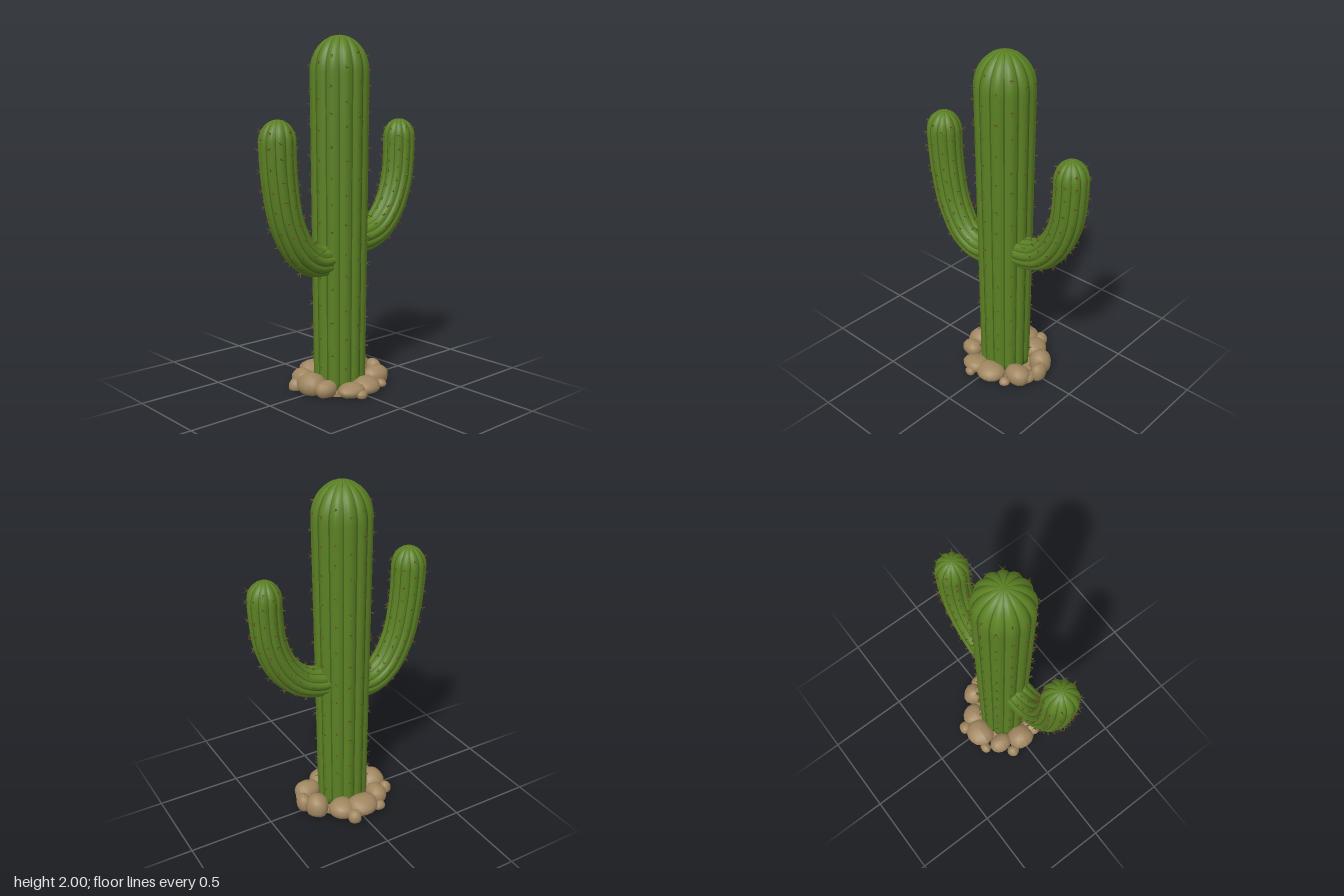
import * as THREE from 'three';
import { mergeGeometries } from 'three/addons/utils/BufferGeometryUtils.js';

const mat = (name, color) => {
  const m = new THREE.MeshStandardMaterial({ color });
  m.name = name;
  return m;
};

function seeded(seed) {
  let s = seed;
  return () => (s = (s * 16807) % 2147483647) / 2147483647;
}

// Radius factors across one rib; the last slot wraps over the narrow groove
const RIB = [0.06, 0.2, 0.35, 0.5, 0.65, 0.8, 0.94];

// Ribbed stem swept along a curve in the XY plane, closed by a dome
function makeStem({ points, r0, r1, ribs, depth, domeLen, phase }) {
  const curve = new THREE.CatmullRomCurve3(points.map(p => new THREE.Vector3(...p)));
  const uDome = 1 - domeLen / curve.getLength();
  const side = new THREE.Vector3(0, 0, 1);

  const radiusAt = u => {
    const r = THREE.MathUtils.lerp(r0, r1, Math.min(u / uDome, 1));
    const d = Math.max(0, (u - uDome) / (1 - uDome));
    return r * Math.sqrt(Math.max(0, 1 - d * d));
  };
  // Point on the surface; rib coordinate 2.5 is the crest of the third rib
  const surface = (u, rib) => {
    const c = curve.getPointAt(u);
    const t = curve.getTangentAt(u);
    const n = new THREE.Vector3().crossVectors(t, side).normalize();
    const a = (rib / ribs) * Math.PI * 2 + phase;
    const out = n.multiplyScalar(Math.cos(a)).addScaledVector(side, -Math.sin(a));
    const crest = Math.pow(Math.abs(Math.sin(rib * Math.PI)), 0.7);
    const r = radiusAt(u) * (1 - depth * (1 - crest));
    return { point: c.addScaledVector(out, r), out, tangent: t };
  };

  const us = [];
  for (let i = 0; i < 36; i++) us.push((uDome * i) / 36);
  for (let i = 0; i < 10; i++) us.push(uDome + (1 - uDome) * Math.sin((i / 10) * Math.PI / 2));
  const cols = ribs * RIB.length;
  const pos = [];
  for (const u of us) {
    for (let c = 0; c < cols; c++) {
      const rib = Math.floor(c / RIB.length) + RIB[c % RIB.length];
      pos.push(...surface(u, rib).point.toArray());
    }
  }
  const start = pos.length / 3;
  pos.push(...curve.getPointAt(0).toArray(), ...curve.getPointAt(1).toArray());

  const skin = [], groove = [];
  for (let c = 0; c < cols; c++) {
    const d = (c + 1) % cols;
    const list = c % RIB.length === RIB.length - 1 ? groove : skin;
    for (let i = 0; i < us.length - 1; i++) {
      const a = i * cols, b = a + cols;
      list.push(a + c, a + d, b + d, a + c, b + d, b + c);
    }
    const last = (us.length - 1) * cols;
    list.push(last + c, last + d, start + 1);
    skin.push(d, c, start);
  }
  const geo = new THREE.BufferGeometry();
  geo.setAttribute('position', new THREE.Float32BufferAttribute(pos, 3));
  geo.setIndex([...skin, ...groove]);
  geo.addGroup(0, skin.length, 0);
  geo.addGroup(skin.length, groove.length, 1);
  geo.computeVertexNormals();
  return { geo, surface };
}

// Clusters of three splayed thorns along every rib crest
function makeSpines(surface, ribs, rows, uMin, rand) {
  const cones = [];
  const up = new THREE.Vector3(0, 1, 0);
  for (let k = 0; k < ribs; k++) {
    for (let j = 0; j < rows; j++) {
      const u = uMin + (0.975 - uMin) * ((j + (k % 2) * 0.5 + rand() * 0.4) / rows);
      if (u > 0.98) continue;
      const { point, out, tangent } = surface(u, k + 0.5);
      const across = new THREE.Vector3().crossVectors(out, tangent);
      for (let i = 0; i < 3; i++) {
        const a = (i / 3) * Math.PI * 2 + rand() * 2;
        const dir = out.clone()
          .addScaledVector(across, Math.cos(a) * 0.8)
          .addScaledVector(tangent, Math.sin(a) * 0.8).normalize();
        const len = 0.022 + rand() * 0.014;
        const cone = new THREE.ConeGeometry(0.0035, len, 4, 1, true);
        cone.translate(0, len / 2 - 0.004, 0);
        cone.applyQuaternion(new THREE.Quaternion().setFromUnitVectors(up, dir));
        cone.translate(point.x, point.y, point.z);
        cones.push(cone);
      }
    }
  }
  return mergeGeometries(cones);
}

// Lumpy stone with a flat underside
function makeRock(r, h, rand) {
  const geo = new THREE.SphereGeometry(1, 14, 10);
  const p = geo.attributes.position;
  const k = [rand() * 6, rand() * 6, rand() * 6];
  const v = new THREE.Vector3();
  for (let i = 0; i < p.count; i++) {
    v.fromBufferAttribute(p, i);
    const s = 1 + 0.06 * (Math.sin(v.x * 3 + k[0]) + Math.sin(v.y * 3 + k[1]) + Math.sin(v.z * 3 + k[2]));
    v.multiplyScalar(s);
    p.setXYZ(i, v.x * r, Math.max(0.008, h * (0.42 + 0.56 * v.y)), v.z * r);
  }
  geo.computeVertexNormals();
  return geo;
}

export function createModel() {
  const model = new THREE.Group();
  const rand = seeded(4711);
  const green = mat('cactusGreen', 0x5b8023);
  const dark = mat('grooveGreen', 0x44641b);
  const thorn = mat('thornBrown', 0x66511f);
  const stone = mat('sandStone', 0xa08660);
  thorn.side = THREE.DoubleSide;

  const addStem = (name, spec, rows, uMin) => {
    const group = new THREE.Group();
    group.name = name;
    const { geo, surface } = makeStem(spec);
    const body = new THREE.Mesh(geo, [green, dark]);
    body.name = name + 'Body';
    const spines = new THREE.Mesh(makeSpines(surface, spec.ribs, rows, uMin, rand), thorn);
    spines.name = name + 'Spines';
    group.add(body, spines);
    model.add(group);
  };

  addStem('trunk', {
    points: [[0, 0.01, 0.01], [0, 0.7, 0.01], [0, 1.4, 0.01], [0, 2, 0.01]],
    r0: 0.15, r1: 0.168, ribs: 13, depth: 0.11, domeLen: 0.2, phase: 0.1,
  }, 11, 0.06);

  addStem('leftArm', {
    points: [[0.08, 0.855, 0.015], [0.17, 0.857, 0.017], [0.28, 0.9, 0.02], [0.38, 1.01, 0.02],
      [0.445, 1.17, 0.02], [0.465, 1.35, 0.02], [0.463, 1.535, 0.02]],
    r0: 0.09, r1: 0.095, ribs: 11, depth: 0.12, domeLen: 0.11, phase: 0.2,
  }, 8, 0.16);

  addStem('rightArm', {
    points: [[-0.08, 0.765, 0.02], [-0.2, 0.768, 0.025], [-0.3, 0.83, 0.028], [-0.39, 0.99, 0.028],
      [-0.435, 1.2, 0.028], [-0.45, 1.4, 0.028], [-0.447, 1.55, 0.028]],
    r0: 0.09, r1: 0.102, ribs: 11, depth: 0.12, domeLen: 0.12, phase: 0.5,
  }, 8, 0.14);

  // Ring of stones: x, z, radius, height
  const rocks = new THREE.Group();
  rocks.name = 'rocks';
  [
    [-0.02, -0.2, 0.085, 0.12], [0.07, -0.25, 0.043, 0.08], [-0.12, -0.225, 0.033, 0.06],
    [0.1, -0.155, 0.082, 0.1], [-0.16, -0.13, 0.07, 0.1], [-0.25, -0.09, 0.04, 0.07],
    [0.22, -0.07, 0.075, 0.12], [0.27, 0.01, 0.05, 0.1], [0.19, 0.11, 0.078, 0.1],
    [0.16, 0.195, 0.03, 0.05], [0.04, 0.19, 0.085, 0.09], [-0.08, 0.19, 0.075, 0.08],
    [-0.06, 0.26, 0.03, 0.05], [-0.19, 0.1, 0.06, 0.1], [-0.2, 0, 0.08, 0.13],
    [0.23, 0.08, 0.05, 0.07],
  ].forEach(([x, z, r, h], i) => {
    const rock = new THREE.Mesh(makeRock(r, h, rand), stone);
    rock.name = 'rock' + (i + 1);
    rock.position.set(x, 0, z);
    rocks.add(rock);
  });
  // Flat bed closing the underside
  const bed = new THREE.Mesh(new THREE.CylinderGeometry(0.2, 0.2, 0.02, 24), stone);
  bed.name = 'rockBed';
  bed.position.y = 0.01;
  rocks.add(bed);
  model.add(rocks);

  return model;
}
